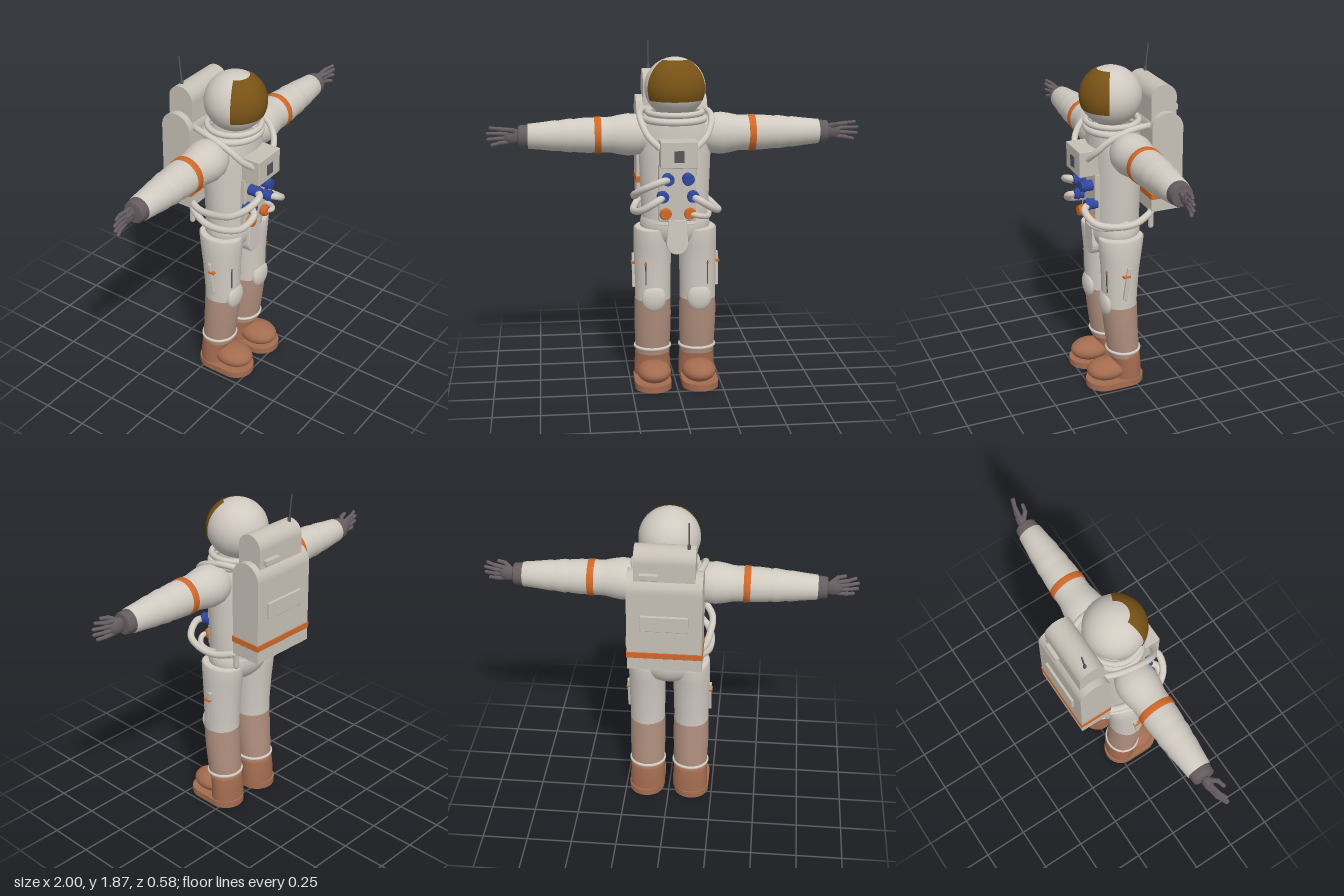
import * as THREE from 'three';
import { RoundedBoxGeometry } from 'three/addons/geometries/RoundedBoxGeometry.js';

const material = (name, color) => {
  const m = new THREE.MeshStandardMaterial({ color, side: THREE.DoubleSide });
  m.name = name;
  return m;
};
const V = (x, y, z) => new THREE.Vector3(x, y, z);
const V2 = (x, y) => new THREE.Vector2(x, y);

export function createModel() {
  const suit = material('suit fabric', 0xd0cac1);
  const shell = material('pack shell', 0xc6c0b6);
  const dusty = material('dusty fabric', 0xb08f7e);
  const leather = material('boot brown', 0xa46c50);
  const orange = material('orange band', 0xd0692a);
  const blue = material('blue fitting', 0x3348a0);
  const gold = material('gold visor', 0x785216);
  const rubber = material('glove rubber', 0x665d60);
  const dark = material('dark metal', 0x55555a);

  const model = new THREE.Group();
  const add = (name, geometry, mat, x = 0, y = 0, z = 0) => {
    const mesh = new THREE.Mesh(geometry, mat);
    mesh.name = name;
    mesh.position.set(x, y, z);
    model.add(mesh);
    return mesh;
  };
  const ball = (name, mat, x, y, z, rx, ry, rz) =>
    add(name, new THREE.SphereGeometry(1, 32, 20).scale(rx, ry, rz), mat, x, y, z);
  const box = (name, mat, x, y, z, w, h, d, r = 0.008) =>
    add(name, new RoundedBoxGeometry(w, h, d, 2, Math.min(r, w / 3, h / 3, d / 3)), mat, x, y, z);
  const tube = (name, mat, points, r) =>
    add(name, new THREE.TubeGeometry(new THREE.CatmullRomCurve3(points.map(p => V(...p))), 48, r, 12), mat);
  // round-ended rod between two points
  const rod = (name, mat, a, b, r) => {
    const from = V(...a), to = V(...b), dir = to.clone().sub(from);
    const mesh = add(name, new THREE.CapsuleGeometry(r, dir.length(), 5, 12), mat);
    mesh.position.copy(from).add(to).multiplyScalar(0.5);
    mesh.quaternion.setFromUnitVectors(V(0, 1, 0), dir.normalize());
  };
  // oval cross-sections [y, z centre, x radius, z radius] stacked upwards
  const stack = (name, mat, x, rings) => {
    const g = new THREE.LatheGeometry(rings.map(r => V2(1, r[0])), 36);
    const p = g.attributes.position;
    for (let i = 0; i < p.count; i++) {
      const [y, zc, rx, rz] = rings[i % rings.length];
      p.setXYZ(i, p.getX(i) * rx, y, zc + p.getZ(i) * rz);
    }
    g.computeVertexNormals();
    return add(name, g, mat, x);
  };
  // horizontal ring around the body
  const ring = (name, mat, x, y, z, rx, rz, r) =>
    add(name, new THREE.TorusGeometry(1, r / rx, 12, 40).rotateX(Math.PI / 2).scale(rx, rx, rz), mat, x, y, z);

  // helmet and visor
  ball('helmet', suit, 0, 1.645, 0.062, 0.163, 0.16, 0.165);
  const half = 1.13;
  add('visor', new THREE.SphereGeometry(0.167, 32, 24, Math.PI / 2 - half, 2 * half, 0.45, 1.5)
    .scale(1, 0.985, 1), gold, 0, 1.645, 0.062);
  ring('neckRing', suit, 0, 1.512, 0.055, 0.145, 0.14, 0.016);
  ring('collarRing', suit, 0, 1.475, 0.052, 0.157, 0.142, 0.018);

  // torso, pelvis and front flap
  stack('torso', suit, 0, [[0.9, 0.055, 0.17, 0.135], [0.95, 0.055, 0.182, 0.137], [1.1, 0.052, 0.186, 0.136],
    [1.25, 0.05, 0.192, 0.138], [1.36, 0.05, 0.194, 0.138], [1.44, 0.05, 0.182, 0.136], [1.49, 0.053, 0.152, 0.13],
    [1.52, 0.055, 0.13, 0.12]]);
  ball('pelvis', suit, 0, 0.91, 0.055, 0.19, 0.145, 0.14);
  ring('waistRing', suit, 0, 0.925, 0.055, 0.176, 0.134, 0.009);
  const flap = new THREE.Shape();
  flap.moveTo(0.045, 0.95);
  flap.lineTo(-0.045, 0.95);
  flap.lineTo(-0.055, 0.82);
  flap.bezierCurveTo(-0.05, 0.745, 0.05, 0.745, 0.055, 0.82);
  add('frontFlap', new THREE.ExtrudeGeometry(flap, { depth: 0.07, bevelSize: 0.004, bevelThickness: 0.006, bevelSegments: 2 }),
    suit, 0, 0, 0.12);

  // chest controls
  box('chestPanel', shell, 0, 1.1, 0.155, 0.2, 0.31, 0.08);
  box('chestBox', shell, 0, 1.318, 0.225, 0.195, 0.142, 0.11, 0.005);
  box('chestDisplay', dark, 0, 1.31, 0.281, 0.05, 0.062, 0.008, 0.002);
  for (const s of [-1, 1]) {
    for (const [x, y, mat, len] of [[0.053, 1.18, blue, 0.06], [0.08, 1.085, blue, 0.045], [0.065, 0.99, orange, 0.03]]) {
      const face = 0.19 + len;
      add('hoseFitting', new THREE.CylinderGeometry(0.027, 0.03, len + 0.02, 20).rotateX(Math.PI / 2),
        mat, s * x, y, face - len / 2);
      add('fittingRim', new THREE.TorusGeometry(0.026, 0.007, 8, 20), mat, s * x, y, face - 0.01);
    }
    // lower hose wraps back to the pack
    tube('lowerHose', suit, [[s * 0.08, 1.085, 0.225], [s * 0.115, 1.07, 0.262], [s * 0.19, 1.02, 0.235],
      [s * 0.225, 0.995, 0.14], [s * 0.22, 0.99, 0.02], [s * 0.185, 1.015, -0.075], [s * 0.16, 1.03, -0.11]], 0.019);
    rod('hoseStub', shell, [s * 0.175, 0.945, -0.095], [s * 0.175, 1.03, -0.095], 0.015);
    // shoulder hose from pack to chest box
    tube('shoulderHose', suit, [[s * 0.14, 1.5, -0.11], [s * 0.172, 1.51, -0.04], [s * 0.19, 1.5, 0.06],
      [s * 0.182, 1.46, 0.15], [s * 0.15, 1.4, 0.205], [s * 0.092, 1.345, 0.235]], 0.017);
  }
  tube('upperHose', suit, [[-0.053, 1.18, 0.24], [-0.09, 1.18, 0.278], [-0.17, 1.145, 0.262], [-0.225, 1.1, 0.19],
    [-0.222, 1.065, 0.08], [-0.2, 1.045, -0.03], [-0.165, 1.05, -0.11]], 0.019);
  tube('shortHose', suit, [[0.065, 0.99, 0.21], [0.1, 0.985, 0.232], [0.15, 0.97, 0.2], [0.175, 0.965, 0.13],
    [0.185, 0.985, 0.04]], 0.015);
  add('fittingPlug', new THREE.CylinderGeometry(0.016, 0.016, 0.04, 16).rotateX(Math.PI / 2), suit, -0.065, 0.99, 0.204);

  // backpack with rounded top edges
  const pack = (name, halfWidth, zFront, zBack, y0, y1) => {
    const r = (zFront - zBack) / 2, c = -(zFront + zBack) / 2;
    const s = new THREE.Shape();
    s.moveTo(-zFront, y0);
    s.lineTo(-zBack, y0);
    s.lineTo(-zBack, y1 - r);
    s.absarc(c, y1 - r, r, 0, Math.PI);
    s.closePath();
    add(name, new THREE.ExtrudeGeometry(s, { depth: 2 * halfWidth, bevelEnabled: false, curveSegments: 20 })
      .rotateY(Math.PI / 2), shell, -halfWidth);
  };
  pack('mainPack', 0.195, -0.09, -0.268, 1.03, 1.575);
  pack('upperPack', 0.157, -0.1, -0.245, 1.45, 1.718);
  box('packBand', orange, 0, 1.118, -0.179, 0.398, 0.034, 0.186, 0.002);
  box('packPlate', shell, 0, 1.315, -0.27, 0.25, 0.09, 0.022, 0.004);
  box('packLatch', shell, 0.08, 1.578, -0.253, 0.1, 0.032, 0.028, 0.004);
  rod('antenna', dark, [-0.12, 1.7, -0.188], [-0.12, 1.862, -0.205], 0.004);
  add('antennaBase', new THREE.CylinderGeometry(0.008, 0.01, 0.03, 12), dark, -0.12, 1.72, -0.19);

  for (const s of [-1, 1]) {
    // arm, profile as [distance from centre, radius]
    const along = (name, mat, profile) => add(name,
      new THREE.LatheGeometry(profile.map(([x, r]) => V2(r, x)), 32).rotateZ(-s * Math.PI / 2), mat, 0, 1.393, 0.045);
    along('sleeve', suit, [[0.12, 0.06], [0.16, 0.092], [0.2, 0.108], [0.25, 0.113], [0.3, 0.105], [0.34, 0.096],
      [0.37, 0.095], [0.42, 0.094], [0.47, 0.094], [0.52, 0.09], [0.535, 0.087], [0.56, 0.09], [0.6, 0.084],
      [0.615, 0.081], [0.64, 0.082], [0.7, 0.074], [0.78, 0.066], [0.785, 0.05]]);
    along('sleeveBand', orange, [[0.394, 0.09], [0.395, 0.099], [0.43, 0.098], [0.431, 0.09]]);
    along('gloveCuff', rubber, [[0.775, 0.05], [0.778, 0.062], [0.826, 0.058], [0.832, 0.052], [0.834, 0.001]]);
    // hand with four spread fingers and a forward thumb
    ball('palm', rubber, s * 0.862, 1.395, 0.042, 0.048, 0.042, 0.024);
    [[1.428, 1.443, 0.975], [1.406, 1.414, 0.99], [1.384, 1.383, 0.988], [1.364, 1.352, 0.968]].forEach(([y0, y1, tip]) => {
      rod('fingerBase', rubber, [s * 0.885, y0, 0.043], [s * 0.935, (y0 + y1) / 2, 0.05], 0.0115);
      rod('fingerTip', rubber, [s * 0.935, (y0 + y1) / 2, 0.05], [s * tip, y1, 0.066], 0.0095);
    });
    rod('thumb', rubber, [s * 0.85, 1.42, 0.05], [s * 0.885, 1.435, 0.082], 0.0125);
    rod('thumbTip', rubber, [s * 0.885, 1.435, 0.082], [s * 0.92, 1.44, 0.09], 0.0105);

    // leg
    const x = s * 0.124;
    stack('thigh', suit, x, [[0.49, 0.068, 0.098, 0.097], [0.55, 0.068, 0.098, 0.098], [0.7, 0.063, 0.101, 0.106],
      [0.8, 0.06, 0.102, 0.118], [0.885, 0.058, 0.1, 0.128], [0.893, 0.058, 0.09, 0.118], [0.894, 0.058, 0.001, 0.001]]);
    stack('shin', dusty, x, [[0.17, 0.045, 0.094, 0.085], [0.22, 0.047, 0.096, 0.09], [0.3, 0.055, 0.099, 0.092],
      [0.4, 0.063, 0.101, 0.096], [0.49, 0.068, 0.099, 0.098]]);
    ball('kneePad', suit, x, 0.505, 0.15, 0.066, 0.076, 0.03);
    ring('ankleRing', suit, x, 0.205, 0.046, 0.096, 0.09, 0.009);

    // side strap, tilted, with a small orange tab, and a thigh seam
    box('sideStrap', shell, s * 0.226, 0.647, 0.065, 0.022, 0.19, 0.022, 0.004).rotation.x = -0.13;
    box('strapTab', orange, s * 0.229, 0.692, 0.068, 0.026, 0.012, 0.042, 0.002);
    box('thighSeam', dark, s * 0.168, 0.65, 0.158, 0.006, 0.13, 0.008, 0.002);
    box('seamTab', orange, s * 0.168, 0.702, 0.16, 0.012, 0.01, 0.008, 0.002);

    // boot
    stack('bootShaft', leather, x, [[0.03, 0.028, 0.1, 0.082], [0.1, 0.027, 0.1, 0.08], [0.17, 0.035, 0.096, 0.083],
      [0.188, 0.04, 0.094, 0.084], [0.189, 0.04, 0.08, 0.07]]);
    ball('bootToe', leather, x, 0.085, 0.145, 0.093, 0.058, 0.113);
    const sole = new THREE.Shape();
    sole.absarc(0, -0.165, 0.1, Math.PI, 2 * Math.PI);
    sole.absarc(0, -0.035, 0.1, 0, Math.PI);
    sole.closePath();
    add('bootSole', new THREE.ExtrudeGeometry(sole, { depth: 0.037, bevelEnabled: false, curveSegments: 20 })
      .rotateX(-Math.PI / 2), leather, s * 0.13, 0, 0);
  }
  return model;
}
